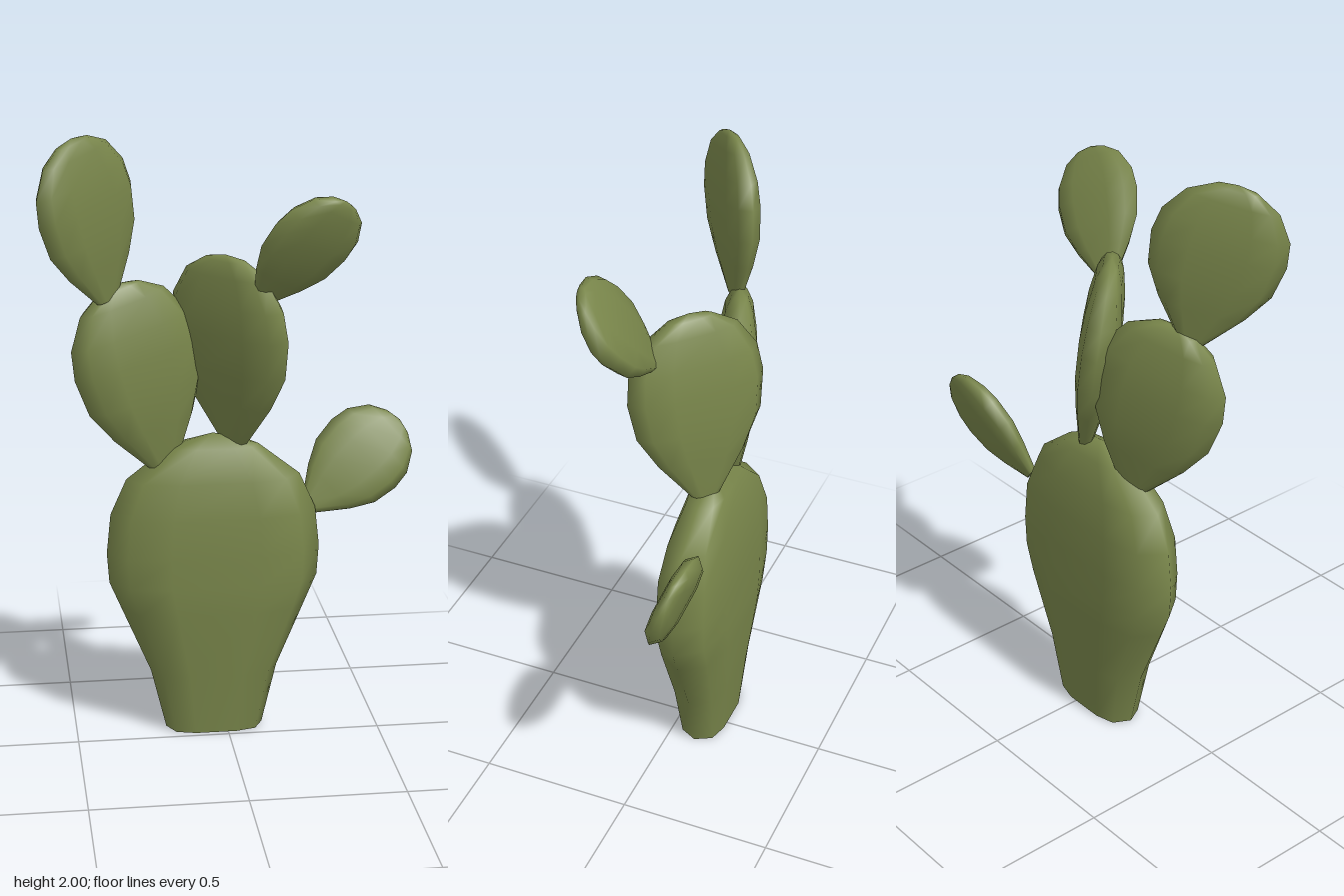
import * as THREE from 'three';

// One quarter-symmetric pad cross-section: pointed sides, gently bulged faces
const SECTION = [
  [1, 0], [0.82, 0.74], [0.42, 0.97], [-0.42, 0.97], [-0.82, 0.74],
  [-1, 0], [-0.82, -0.74], [-0.42, -0.97], [0.42, -0.97], [0.82, -0.74],
];

// Rings as [fraction of length, half width, half thickness]
const PAD = [
  [0, 0.21, 0.35], [0.22, 0.65, 0.72], [0.4, 0.92, 0.95], [0.6, 1, 1],
  [0.75, 0.94, 0.9], [0.9, 0.68, 0.66], [0.975, 0.33, 0.38], [1, 0, 0],
];
const TRUNK = [
  [0, 0.46, 0.67], [0.2, 0.6, 0.82], [0.42, 0.87, 1], [0.51, 0.98, 1], [0.61, 1, 1],
  [0.74, 0.96, 0.97], [0.855, 0.81, 0.8], [0.96, 0.42, 0.55], [1, 0, 0],
];

// Lofts the section through the rings, from base to tip
function padGeometry(base, tip, widthDir, halfWidth, halfThick, rings) {
  const origin = new THREE.Vector3(...base);
  const axis = new THREE.Vector3(...tip).sub(origin);
  const length = axis.length();
  axis.normalize();
  const across = new THREE.Vector3(...widthDir);
  across.addScaledVector(axis, -across.dot(axis)).normalize();
  const normal = across.clone().cross(axis);

  const n = SECTION.length;
  const last = rings.length - 1;
  const positions = [];
  const index = [];
  const addRing = ([s, w, t]) => {
    for (const [u, v] of SECTION) {
      const p = origin.clone()
        .addScaledVector(axis, s * length)
        .addScaledVector(across, u * w * halfWidth)
        .addScaledVector(normal, v * t * halfThick);
      positions.push(p.x, p.y, p.z);
    }
  };

  // Skin, closing on a single tip vertex
  rings.slice(0, last).forEach(addRing);
  const apex = positions.length / 3;
  positions.push(...tip);
  for (let i = 0; i < last; i++) {
    for (let j = 0; j < n; j++) {
      const a = i * n + j;
      const b = i * n + (j + 1) % n;
      if (i === last - 1) index.push(a, apex, b);
      else index.push(a, a + n, b, b, a + n, b + n);
    }
  }

  // Flat cut at the base, with its own vertices for a crisp edge
  const cap = positions.length / 3;
  addRing(rings[0]);
  for (let j = 1; j < n - 1; j++) index.push(cap, cap + j, cap + j + 1);

  const geometry = new THREE.BufferGeometry();
  geometry.setAttribute('position', new THREE.Float32BufferAttribute(positions, 3));
  geometry.setIndex(index);
  geometry.computeVertexNormals();
  return geometry;
}

export function createModel() {
  const group = new THREE.Group();
  group.name = 'cactus';
  const green = new THREE.MeshStandardMaterial({ color: 0x78854a });
  green.name = 'cactus green';

  const add = (name, base, tip, widthDir, halfWidth, halfThick, rings = PAD) => {
    const mesh = new THREE.Mesh(
      padGeometry(base, tip, widthDir, halfWidth, halfThick, rings), green);
    mesh.name = name;
    group.add(mesh);
  };

  // Main stem
  add('trunkPad', [-0.04, 0, -0.092], [-0.04, 1.02, -0.092], [1, 0, 0], 0.35, 0.111, TRUNK);
  // Two pads on top of the stem
  add('rightMiddlePad', [-0.2, 0.92, -0.085], [-0.345, 1.53, -0.05], [0.93, 0.2, -0.37], 0.222, 0.07);
  add('centrePad', [0.03, 0.99, -0.09], [-0.01, 1.62, -0.015], [0.72, 0, 0.69], 0.23, 0.065);
  // Outer small pads
  add('rightUpperPad', [-0.38, 1.485, -0.02], [-0.485, 2, 0.05], [0.75, 0.1, -0.65], 0.203, 0.05);
  add('leftUpperPad', [0.095, 1.49, 0.055], [0.335, 1.815, 0.185], [0.8, -0.45, -0.4], 0.15, 0.045);
  add('leftLowerPad', [0.28, 0.75, -0.118], [0.595, 1.01, -0.2], [0.653, -0.705, 0.248], 0.155, 0.04);
  return group;
}
